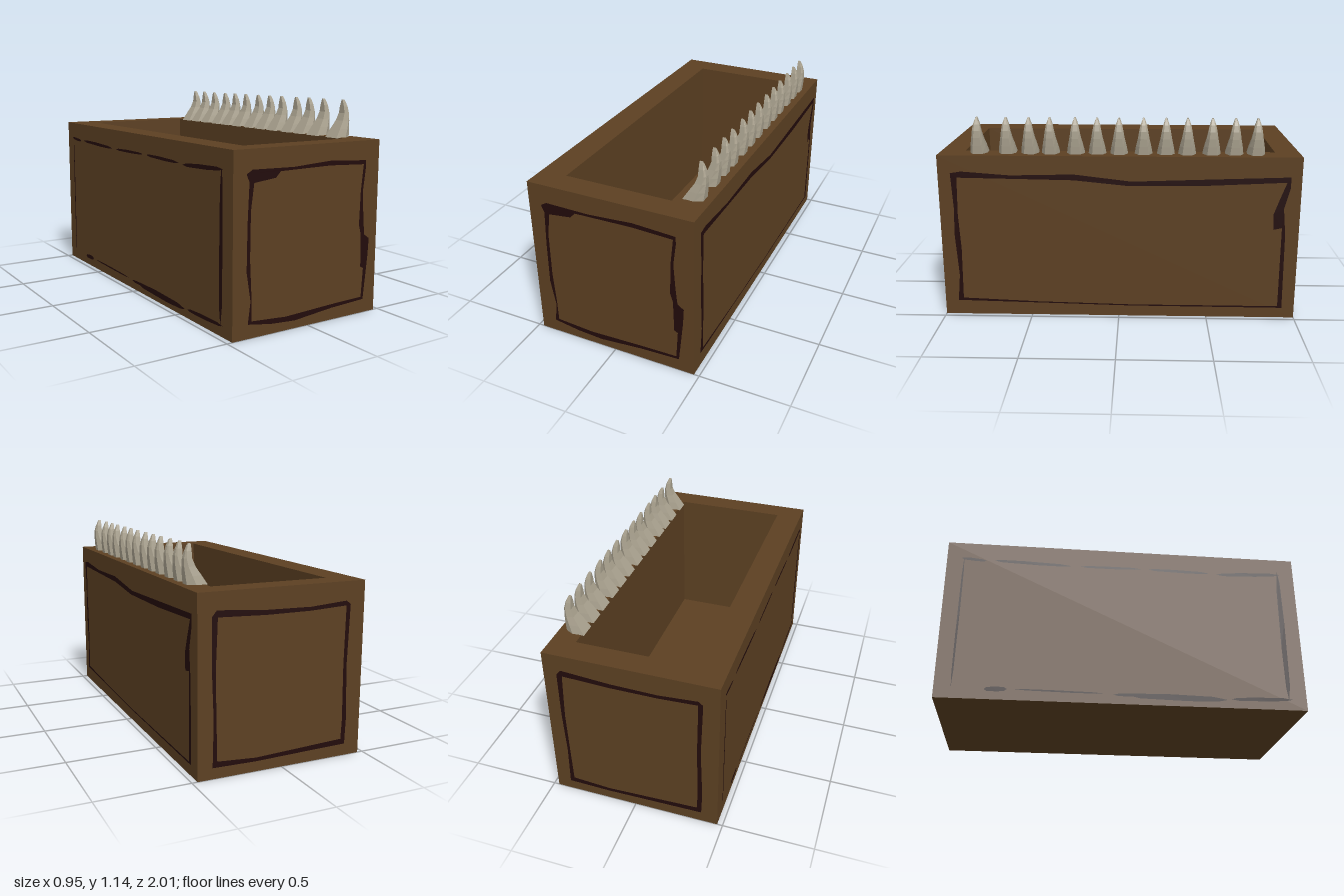
import * as THREE from 'three';

const wood = new THREE.MeshStandardMaterial({ color: 0x5c4022 });
wood.name = 'brown wood';
const stain = new THREE.MeshStandardMaterial({ color: 0x220b0b });
stain.name = 'dark stain';
const bone = new THREE.MeshStandardMaterial({ color: 0xaaa28f });
bone.name = 'bone';

const W = 0.47, H = 0.94, L = 1, FLOOR = 0.14;

function mesh(name, geometry, material) {
  const m = new THREE.Mesh(geometry, material);
  m.name = name;
  return m;
}

const points = (list) => list.map(([x, y]) => new THREE.Vector2(x, y));

// Painted border: an irregular outline with an irregular hole
function border(outer, inner) {
  const shape = new THREE.Shape(points(outer));
  shape.holes.push(new THREE.Path(points(inner)));
  return shape;
}

// Brush stroke that tapers at both ends
function stroke([x0, y0, x1, y1, w]) {
  const dx = x1 - x0, dy = y1 - y0, len = Math.hypot(dx, dy);
  const nx = (-dy / len) * w / 2, ny = (dx / len) * w / 2;
  const at = (t, s) => [x0 + dx * t + nx * s, y0 + dy * t + ny * s];
  return new THREE.Shape(points([
    at(0, 0), at(0.12, -0.8), at(0.6, -1), at(0.9, -0.7), at(1, 0), at(0.85, 0.8), at(0.4, 1), at(0.1, 0.7),
  ]));
}

// Flat paint laid on one side of the box
function paintSide(name, shapes, angle, distance) {
  const m = mesh(name, new THREE.ShapeGeometry(shapes), stain);
  m.rotation.y = angle;
  m.position.set(Math.sin(angle) * distance, 0, Math.cos(angle) * distance);
  return m;
}

// Curved fang lofted through hexagonal sections: [y, inner x, outer x, half width]
function fangGeometry() {
  const levels = [
    [0.938, 0.325, 0.43, 0.05], [0.985, 0.355, 0.436, 0.042], [1.03, 0.384, 0.44, 0.032],
    [1.07, 0.399, 0.439, 0.025], [1.105, 0.399, 0.43, 0.018], [1.13, 0.399, 0.417, 0.009],
    [1.142, 0.399, 0.406, 0.004],
  ];
  const pos = [], idx = [], n = 6;
  for (const [y, a, b, w] of levels) {
    const m = (a + b) / 2 + 0.01;
    for (const [x, z] of [[b, -0.55 * w], [m, -w], [a, -0.9 * w], [a, 0.9 * w], [m, w], [b, 0.55 * w]]) pos.push(x, y, z);
  }
  for (let k = 0; k < levels.length - 1; k++) {
    for (let i = 0; i < n; i++) {
      const a = k * n + i, b = k * n + (i + 1) % n;
      idx.push(a, b, b + n, a, b + n, a + n);
    }
  }
  const top = (levels.length - 1) * n;
  for (let i = 1; i < n - 1; i++) idx.push(0, i + 1, i, top, top + i, top + i + 1);
  const g = new THREE.BufferGeometry();
  g.setAttribute('position', new THREE.Float32BufferAttribute(pos, 3));
  g.setIndex(idx);
  const flat = g.toNonIndexed();
  flat.computeVertexNormals();
  return flat;
}

export function createModel() {
  const model = new THREE.Group();
  model.name = 'fangedTrough';

  // Open box: four walls around a cavity, plus a floor
  const plan = new THREE.Shape(points([[-W, -L], [W, -L], [W, L], [-W, L]]));
  plan.holes.push(new THREE.Path(points([[-0.32, -0.865], [-0.32, 0.865], [0.34, 0.865], [0.34, -0.865]])));
  const walls = mesh('walls', new THREE.ExtrudeGeometry(plan, { depth: H, bevelEnabled: false }), wood);
  walls.rotation.x = -Math.PI / 2;
  const floor = mesh('floor', new THREE.BoxGeometry(0.66, FLOOR, 1.73), wood);
  floor.position.set(0.01, FLOOR / 2, 0);
  model.add(walls, floor);

  // Painted borders
  const front = border(
    [[-.395, .82], [-.36, .84], [-.11, .835], [.14, .85], [.375, .835], [.375, .79], [.36, .67], [.37, .53],
      [.38, .435], [.415, .41], [.41, .32], [.40, .22], [.385, .075], [.16, .065], [-.085, .042], [-.235, .052],
      [-.38, .075], [-.365, .19], [-.39, .34], [-.387, .58], [-.378, .78]],
    [[-.35, .775], [-.22, .79], [-.19, .82], [.13, .825], [.36, .815], [.345, .67], [.34, .49], [.355, .44],
      [.36, .26], [.38, .25], [.37, .09], [.16, .085], [-.145, .073], [-.357, .088], [-.36, .22], [-.37, .4],
      [-.368, .64]]);
  const toothed = border(
    [[-.93, .84], [-.87, .85], [-.6, .83], [-.25, .838], [.07, .80], [.5, .815], [.94, .83], [.94, .77], [.91, .65],
      [.925, .5], [.93, .06], [.07, .063], [-.46, .075], [-.925, .085], [-.91, .24], [-.925, .48], [-.92, .64]],
    [[-.895, .815], [-.56, .81], [-.25, .805], [.05, .775], [.5, .78], [.92, .8], [.89, .72], [.855, .62],
      [.86, .53], [.905, .54], [.905, .07], [.07, .07], [-.46, .082], [-.895, .1], [-.89, .4], [-.9, .6]]);
  const back = border(
    [[-.395, .82], [-.37, .85], [-.1, .83], [.15, .825], [.36, .84], [.385, .82], [.375, .5], [.385, .2], [.38, .065],
      [.1, .06], [-.15, .055], [-.39, .06], [-.385, .3], [-.395, .55]],
    [[-.365, .815], [-.1, .805], [.15, .805], [.36, .815], [.355, .5], [.36, .2], [.355, .095], [.1, .085],
      [-.15, .075], [-.365, .09], [-.37, .3], [-.375, .55]]);
  const worn = [
    [-.91, .06, -.905, .85, .012], [.9, .05, .905, .86, .03], [-.92, .84, -.78, .83, .018],
    [-.74, .835, -.3, .825, .02], [-.25, .825, .1, .83, .016], [.14, .83, .5, .825, .018],
    [.54, .82, .92, .84, .024], [-.74, .055, -.62, .06, .028], [-.58, .06, -.1, .055, .01],
    [-.06, .05, .2, .055, .018], [.02, .05, .56, .045, .035], [.58, .05, .92, .06, .022],
  ].map(stroke);
  model.add(
    paintSide('frontBorder', front, 0, L + 0.003),
    paintSide('leftBorder', toothed, Math.PI / 2, W + 0.003),
    paintSide('backBorder', back, Math.PI, L + 0.003),
    paintSide('rightBorder', worn, -Math.PI / 2, W + 0.003));

  // Row of fangs along the left rim
  const fangs = new THREE.Group();
  fangs.name = 'fangs';
  const fang = fangGeometry();
  for (const z of [.78, .62, .495, .38, .24, .12, 0, -.135, -.258, -.375, -.51, -.635, -.755]) {
    const f = mesh('fang', fang, bone);
    f.position.z = z;
    fangs.add(f);
  }
  model.add(fangs);
  return model;
}
